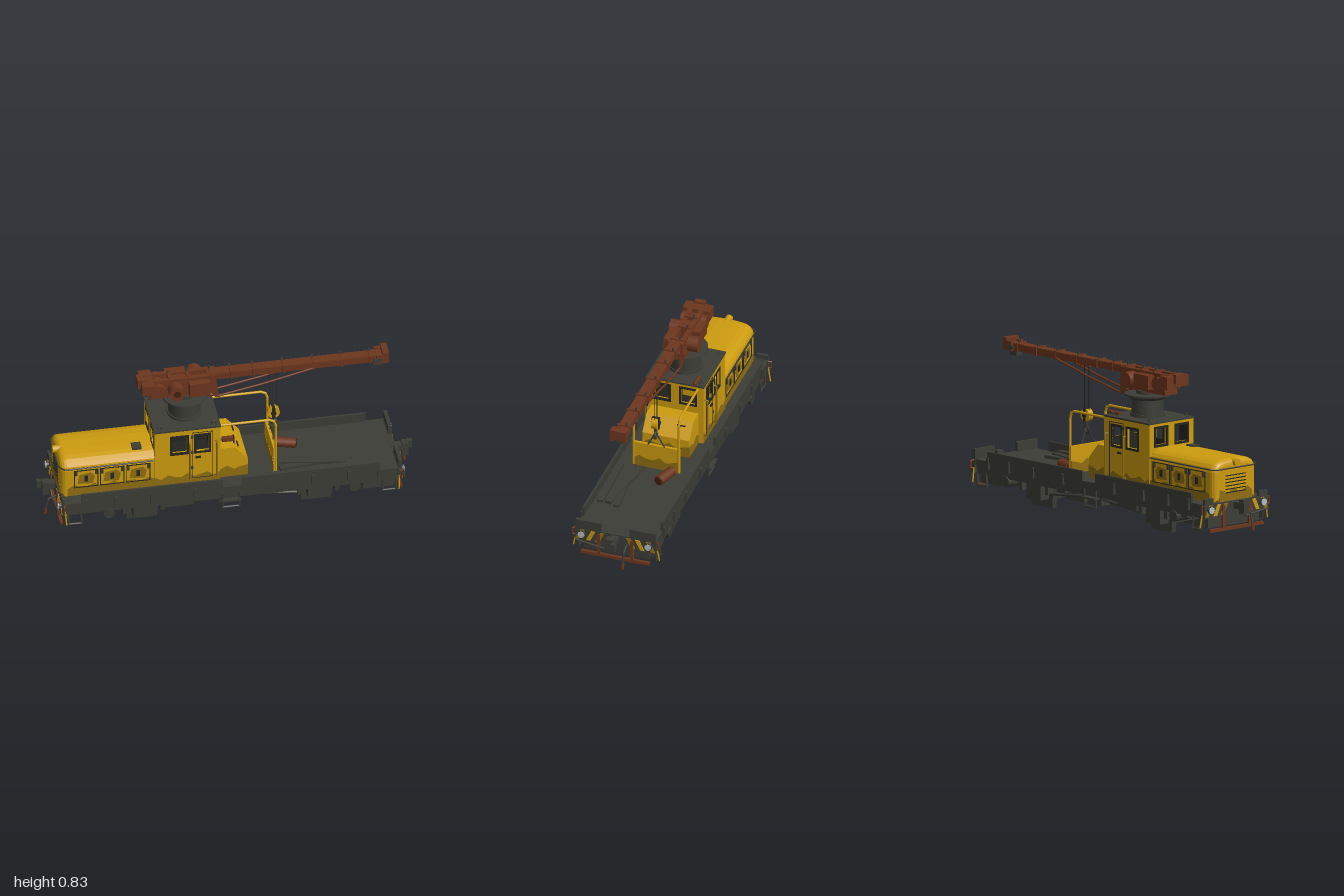
import * as THREE from 'three';
import { mergeGeometries } from 'three/addons/utils/BufferGeometryUtils.js';

const mat = (name, color) => new THREE.MeshStandardMaterial({ name, color });

export function createModel() {
  const yellow = mat('yellow paint', 0xcc9b0e), dark = mat('dark grey steel', 0x3c3d36);
  const grimy = mat('grimy yellow', 0x8f6d12), brown = mat('rust brown', 0x6d361e), darkBrown = mat('dark rust', 0x45210f);
  const black = mat('black trim', 0x24251f), lampGrey = mat('lamp glass', 0xb4bcbc);
  const root = new THREE.Group();
  const V = (x, y, z) => new THREE.Vector3(x, y, z);
  const add = (name, m, geo) => {
    const mesh = new THREE.Mesh(geo, m);
    mesh.name = name;
    root.add(mesh);
    return mesh;
  };
  const boxGeo = (x0, x1, y0, y1, z0, z1) => new THREE.BoxGeometry(x1 - x0, y1 - y0, z1 - z0)
    .translate((x0 + x1) / 2, (y0 + y1) / 2, (z0 + z1) / 2);
  const box = (name, m, ...b) => add(name, m, boxGeo(...b));
  const pair = (name, m, x0, x1, y0, y1, z0, z1) => {
    box(name, m, x0, x1, y0, y1, z0, z1);
    box(name, m, x0, x1, y0, y1, -z1, -z0);
  };
  // straight round bars joined through a list of [x, y, z] points
  const rod = (name, m, r, pts, sides = 8, overlap = r) => add(name, m, mergeGeometries(pts.slice(1).map((p, i) => {
    const a = V(...pts[i]), b = V(...p), d = b.clone().sub(a);
    const g = new THREE.CylinderGeometry(r, r, d.length() + overlap, sides);
    g.applyQuaternion(new THREE.Quaternion().setFromUnitVectors(V(0, 1, 0), d.normalize()));
    return g.translate(...a.add(b).multiplyScalar(0.5).toArray());
  })));
  const cyl = (name, m, r, a, b, sides = 20) => rod(name, m, r, [a, b], sides, 0);
  const outline = pts => new THREE.Shape(pts.map(p => new THREE.Vector2(...p)));
  const rect = (a, b, c, d) => [[a, c], [b, c], [b, d], [a, d]];
  // plate with holes in the xy plane, from z to z + depth
  const plate = (pts, holes, z, depth) => {
    const s = outline(pts);
    s.holes = holes.map(h => new THREE.Path(h.map(p => new THREE.Vector2(...p))));
    return new THREE.ExtrudeGeometry(s, { depth, bevelEnabled: false }).translate(0, 0, z);
  };
  // thin dirty band with an uneven top edge, centred on z = 0
  const grimeBand = (u0, u1) => {
    const n = Math.max(3, Math.round((u1 - u0) / 0.035)), pts = [[u0, 0.206], [u1, 0.206]];
    for (let i = n; i >= 0; i--) pts.push([u0 + (u1 - u0) * i / n, 0.262 + 0.014 * Math.sin(i * 2.3 + u0 * 9)]);
    return plate(pts, [], -0.001, 0.002);
  };
  const sideGrime = (x0, x1, z) => [-1, 1].forEach(s => add('sideGrime', grimy, grimeBand(x0, x1).translate(0, 0, s * z)));
  const endGrime = (w, x) => add('endGrime', grimy, grimeBand(-w, w).rotateY(Math.PI / 2).translate(x, 0, 0));

  // main frame and deck
  box('deck', dark, -0.9, 0.9, 0.18, 0.205, -0.222, 0.222);
  pair('sideSill', dark, -0.9, 0.9, 0.13, 0.2, 0.19, 0.215);
  pair('innerSill', dark, -0.88, 0.88, 0.1, 0.18, 0.06, 0.09);
  pair('rearSideBoard', dark, -0.8, -0.05, 0.2, 0.257, 0.212, 0.224);
  pair('frontSideBoard', dark, 0.05, 0.79, 0.2, 0.257, 0.212, 0.224);
  for (const x of [-0.78, -0.62, -0.43, -0.2, 0.2, 0.43, 0.62, 0.78])
    pair('boardBracket', dark, x - 0.008, x + 0.008, 0.165, 0.225, 0.22, 0.234);
  for (const x of [-0.7, -0.25, 0.25, 0.7]) box('crossMember', dark, x - 0.03, x + 0.03, 0.11, 0.18, -0.19, 0.19);

  // running gear
  for (const s of [-1, 1]) {
    const cx = s * 0.465;
    box('axleHousing', dark, cx - 0.085, cx + 0.085, 0.05, 0.17, -0.1, 0.1);
    for (const z of [-0.13, 0.1]) add('wheelBlock', dark, plate(
      [[cx - 0.08, 0], [cx + 0.08, 0], [cx + 0.085, 0.06], [cx + 0.1, 0.15], [cx - 0.1, 0.15], [cx - 0.085, 0.06]], [], z, 0.03));
    pair('axleBox', dark, cx - 0.055, cx + 0.055, 0.045, 0.13, 0.13, 0.19);
    pair('spring', dark, cx - 0.13, cx + 0.13, 0.12, 0.145, 0.14, 0.18);
    for (const dx of [-0.1, 0.1]) pair('springHanger', dark, cx + dx - 0.012, cx + dx + 0.012, 0.08, 0.16, 0.15, 0.19);
    for (const z of [-0.17, 0.17]) {
      cyl('airTank', dark, 0.03, [s * 0.655, 0.115, z - 0.05], [s * 0.655, 0.115, z + 0.05]);
      rod('trussBar', dark, 0.008, [[s * 0.36, 0.085, z], [s * 0.05, 0.115, z]]);
    }
    pair('equipmentBox', dark, s > 0 ? 0.7 : -0.35, s > 0 ? 0.86 : -0.2, s > 0 ? 0.08 : 0.1, 0.14, 0.1, 0.2);
    pair('underTank', dark, cx - s * 0.2 - 0.07, cx - s * 0.2 + 0.07, 0.09, 0.17, 0.02, 0.13);
  }
  box('transmission', dark, -0.12, 0.12, 0.08, 0.17, -0.11, 0.11);
  for (const z of [-0.215, 0.215]) {
    rod('middleLadder', dark, 0.006, [[-0.05, 0.16, z], [-0.05, 0.072, z], [0.04, 0.072, z], [0.04, 0.16, z]]);
    box('ladderStep', dark, -0.055, 0.045, 0.115, 0.125, z - 0.02, z + 0.02);
    box('stepBox', dark, -0.06, 0.05, 0.08, 0.15, z - 0.06 * Math.sign(z) - 0.03, z - 0.06 * Math.sign(z) + 0.03);
  }

  // both ends: buffer beam, warning stripes, lamps, coupler, guard bar, hoses, steps
  for (const s of [-1, 1]) {
    const ex = (a, b) => s > 0 ? [a, b] : [-b, -a];
    box('bufferBeam', dark, ...ex(0.88, 0.905), 0.135, 0.207, -0.225, 0.225);
    box('lowerApron', dark, ...ex(0.86, 0.885), 0.075, 0.14, -0.18, 0.18);
    if (s > 0) pair('endBoard', dark, 0.885, 0.905, 0.2, 0.257, 0.08, 0.222);
    else pair('endCornerPost', dark, -0.905, -0.89, 0.2, 0.235, 0.16, 0.222);
    for (const side of [-1, 1]) {
      for (const z of [0.06, 0.11, 0.17]) {
        const w = 0.024, pts = [[z + 0.028, 0.14], [z + w + 0.028, 0.14], [z + w, 0.2], [z, 0.2]];
        const g = plate(pts.map(p => [p[0] * side, p[1]]), [], -0.002, 0.004);
        g.rotateY(-Math.PI / 2).translate(s * 0.907, 0, 0);
        add('warningStripe', z === 0.11 ? yellow : grimy, g);
      }
      const z = side * 0.185;
      cyl('lampHousing', dark, 0.021, [s * 0.9, 0.175, z], [s * 0.918, 0.175, z]);
      cyl('lampGlass', lampGrey, 0.019, [s * 0.9, 0.175, z], [s * 0.922, 0.175, z], 8);
      box('guardHanger', brown, ...ex(0.9, 0.912), 0.06, 0.19, side * 0.092 - 0.009, side * 0.092 + 0.009);
      rod('cornerHandle', brown, 0.005, [[s * 0.89, 0.2, side * 0.222], [s * 0.9, 0.195, side * 0.238], [s * 0.9, 0.16, side * 0.238], [s * 0.89, 0.155, side * 0.222]]);
      rod('cornerRail', yellow, 0.004, [[s * 0.89, 0.16, side * 0.225], [s * 0.885, 0.085, side * 0.238]]);
      rod('cornerStep', dark, 0.006, [[s * 0.88, 0.15, side * 0.21], [s * 0.87, 0.07, side * 0.215], [s * 0.8, 0.07, side * 0.215], [s * 0.81, 0.15, side * 0.21]]);
    }
    const hz = -s * 0.062;
    rod('brakeHose', dark, 0.006, [[s * 0.9, 0.155, hz], [s * 0.95, 0.135, hz], [s * 0.965, 0.075, hz]]);
    cyl('hoseEnd', brown, 0.009, [s * 0.965, 0.075, hz], [s * 0.968, 0.045, hz], 8);
    box('guardBar', brown, ...ex(0.895, 0.912), 0.055, 0.072, -0.19, 0.19);
    box('couplerShank', dark, ...ex(0.9, 0.96), 0.165, 0.2, -0.02, 0.02);
    box('couplerHead', dark, ...ex(0.94, 0.975), 0.14, 0.215, -0.012, 0.03);
    box('couplerJaw', dark, ...ex(0.97, 1), 0.16, 0.205, -0.03, -0.006);
    rod('uncouplingLever', dark, 0.005, [[s * 0.92, 0.14, 0.21], [s * 0.925, 0.12, 0.05], [s * 0.93, 0.16, 0.02]]);
  }

  // long engine hood with rounded shoulders; its far end is drawn in
  const arc = [[0.15, 0.2], [0.15, 0.365], [0.145, 0.388], [0.132, 0.406], [0.112, 0.418], [0.085, 0.425], [0.04, 0.429]];
  const section = [...arc, ...arc.slice().reverse().map(([z, y]) => [-z, y])];
  const hood = new THREE.ExtrudeGeometry(outline(section), { depth: 0.46, bevelThickness: 0.035, bevelSize: 0.03, bevelOffset: -0.03, bevelSegments: 4 });
  add('engineHood', yellow, hood.rotateY(-Math.PI / 2).translate(-0.405, 0, 0));
  cyl('hoodHeadlamp', yellow, 0.02, [-0.918, 0.41, 0], [-0.84, 0.41, 0]);
  rod('hoodRail', dark, 0.004, [[-0.41, 0.382, 0.158], [-0.88, 0.382, 0.158], [-0.908, 0.382, 0.12], [-0.908, 0.382, -0.12], [-0.88, 0.382, -0.158], [-0.41, 0.382, -0.158]]);
  sideGrime(-0.865, -0.4, 0.1505);
  endGrime(0.115, -0.9);
  for (const side of [-1, 1]) {
    for (let i = 0; i < 3; i++) {
      const x = -0.83 + i * 0.138, z = side * 0.151;
      add('doorSeam', black, plate(rect(x, x + 0.13, 0.255, 0.365), [rect(x + 0.004, x + 0.126, 0.259, 0.361)], z - 0.003, 0.006));
      add('doorGrime', grimy, plate([[x + 0.02, 0.28], [x + 0.1, 0.275], [x + 0.112, 0.32], [x + 0.09, 0.345], [x + 0.03, 0.335]], [], z - 0.001, 0.002));
      box('doorLatch', black, x + 0.056, x + 0.074, 0.292, 0.328, z - 0.005, z + 0.005);
      for (const dx of [0.012, 0.118]) box('doorHinge', dark, x + dx - 0.006, x + dx + 0.006, 0.335, 0.362, z - 0.006, z + 0.006);
    }
  }
  for (let i = 0; i < 6; i++) box('endLouver', black, -0.903, -0.89, 0.25 + i * 0.018, 0.255 + i * 0.018, -0.07, 0.07);
  box('roofHatch', dark, -0.51, -0.46, 0.42, 0.435, 0.05, 0.1);

  // cab: four yellow walls with open, dark-framed windows and a dark lining
  const sideWins = [rect(-0.308, -0.23, 0.412, 0.512), rect(-0.18, -0.113, 0.412, 0.512)];
  const endWins = [rect(-0.11, -0.035, 0.442, 0.528), rect(0.035, 0.11, 0.442, 0.528)];
  const grow = (r, d) => rect(r[0][0] - d, r[1][0] + d, r[0][1] - d, r[2][1] + d);
  for (const side of [-1, 1]) {
    const z = side * 0.149;
    add('cabSide', yellow, plate(rect(-0.4, -0.05, 0.2, 0.555), sideWins, z - 0.007, 0.014));
    add('cabLining', black, plate(rect(-0.385, -0.065, 0.21, 0.545), sideWins, side * 0.139 - 0.002, 0.004));
    for (const w of sideWins) add('windowFrame', black, plate(grow(w, 0.012), [w], z - 0.01, 0.02));
    add('cabDoorSeam', black, plate(rect(-0.2, -0.09, 0.24, 0.535), [rect(-0.197, -0.093, 0.243, 0.532)], z - 0.009, 0.018));
    box('doorHandle', black, -0.185, -0.155, 0.37, 0.38, z - 0.014, z + 0.014);
    for (const x of [-0.215, -0.072])
      rod('cabGrabRail', grimy, 0.005, [[x, 0.47, side * 0.152], [x, 0.465, side * 0.172], [x, 0.25, side * 0.172], [x, 0.245, side * 0.152]]);
    for (const y of [0.3, 0.4, 0.5]) box('hinge', dark, -0.208, -0.196, y, y + 0.018, z - 0.012, z + 0.012);
  }
  sideGrime(-0.4, -0.05, 0.1565);
  for (const s of [-1, 1]) {
    const across = (name, m, geo, x) => add(name, m, geo.rotateY(Math.PI / 2).translate(-0.225 + s * x, 0, 0));
    across('cabEnd', yellow, plate(rect(-0.15, 0.15, 0.2, 0.555), endWins, -0.007, 0.014), 0.168);
    across('cabLining', black, plate(rect(-0.136, 0.136, 0.21, 0.545), endWins, -0.002, 0.004), 0.158);
    for (const w of endWins) across('windowFrame', black, plate(grow(w, 0.012), [w], -0.01, 0.02), 0.168);
  }
  box('cabFloor', black, -0.385, -0.065, 0.25, 0.26, -0.137, 0.137);
  box('cabRoof', dark, -0.402, -0.048, 0.554, 0.563, -0.16, 0.16);
  cyl('horn', brown, 0.01, [-0.12, 0.573, -0.11], [-0.04, 0.573, -0.11], 10);
  rod('floodlightArm', dark, 0.005, [[-0.05, 0.45, 0.13], [0.0, 0.46, 0.13]]);
  box('floodlight', brown, -0.04, 0.02, 0.447, 0.468, 0.126, 0.15);
  box('floodlightFace', black, 0.02, 0.026, 0.43, 0.47, 0.125, 0.151);
  for (const x of [-0.37, -0.08]) for (const z of [-0.13, 0.13])
    add('liftingEye', dark, new THREE.TorusGeometry(0.01, 0.004, 6, 12).translate(x, 0.568, z));

  // short sloping nose and railed platform panel
  add('noseBox', yellow, plate([[-0.05, 0.2], [0.1, 0.2], [0.1, 0.31], [0.03, 0.39], [-0.05, 0.39]], [], -0.13, 0.26));
  sideGrime(-0.045, 0.1, 0.1305);
  endGrime(0.13, 0.1005);
  for (const z of [-0.07, 0.07]) rod('noseHandle', black, 0.004, [[0.055, 0.367, z - 0.02], [0.055, 0.367, z + 0.02]]);
  box('platformPanel', yellow, 0.237, 0.253, 0.2, 0.35, -0.13, 0.13);
  for (const x of [0.2365, 0.2535]) endGrime(0.13, x);
  for (const z of [-0.125, 0.125])
    rod('platformRail', yellow, 0.007, [[-0.05, 0.54, z], [0.215, 0.54, z], [0.24, 0.528, z], [0.25, 0.5, z], [0.25, 0.2, z]]);

  // cargo on the deck
  cyl('cableDrum', brown, 0.027, [0.28, 0.23, -0.095], [0.39, 0.23, -0.06], 12);
  cyl('drumEnds', darkBrown, 0.022, [0.276, 0.23, -0.0963], [0.394, 0.23, -0.0587], 12);
  [[0.27, 0.12, 0.66, 0.08], [0.28, 0.07, 0.65, 0.13], [0.3, 0.18, 0.66, 0.17]].forEach(([x0, z0, x1, z1], i) => {
    const len = Math.hypot(x1 - x0, z1 - z0), g = new THREE.BoxGeometry(len, 0.016, 0.035);
    g.rotateY(-Math.atan2(z1 - z0, x1 - x0)).translate((x0 + x1) / 2, 0.213 + i * 0.006, (z0 + z1) / 2);
    add('looseBeam', dark, g);
  });

  // turret under the crane
  const T = -0.215;
  cyl('turretFoot', dark, 0.092, [T, 0.56, 0], [T, 0.578, 0], 28);
  cyl('turretDrum', dark, 0.085, [T, 0.57, 0], [T, 0.66, 0], 28);
  add('turretFlange', dark, new THREE.CylinderGeometry(0.118, 0.088, 0.02, 28).translate(T, 0.664, 0));
  cyl('turretDisc', dark, 0.12, [T, 0.673, 0], [T, 0.682, 0], 28);
  cyl('slewingRing', dark, 0.06, [T, 0.68, 0], [T, 0.7, 0], 24);

  // crane machinery
  box('craneBed', brown, -0.4, -0.06, 0.697, 0.735, -0.045, 0.045);
  pair('craneCheek', brown, -0.42, -0.05, 0.73, 0.808, 0.03, 0.042);
  box('winchHouse', brown, -0.31, -0.2, 0.72, 0.795, -0.085, 0.04);
  box('gearCase', brown, -0.2, -0.09, 0.71, 0.79, 0.03, 0.08);
  cyl('winchDrum', brown, 0.038, [-0.36, 0.755, -0.07], [-0.36, 0.755, 0.07]);
  cyl('hoistMotor', brown, 0.043, [-0.27, 0.752, 0.03], [-0.27, 0.752, 0.1], 8);
  cyl('slewMotor', brown, 0.042, [-0.15, 0.755, -0.1], [-0.15, 0.755, -0.03], 12);
  cyl('motorCap', darkBrown, 0.02, [-0.27, 0.752, 0.09], [-0.27, 0.752, 0.104], 8);
  box('counterweight', brown, -0.45, -0.385, 0.745, 0.805, -0.075, 0.075);
  box('rearBracket', brown, -0.468, -0.44, 0.765, 0.815, -0.03, 0.03);

  // boom: two side beams, top plate, bracing and clips
  pair('boomBeam', brown, -0.43, 0.86, 0.772, 0.808, 0.018, 0.03);
  box('boomTopPlate', brown, -0.1, 0.86, 0.8, 0.81, -0.026, 0.026);
  for (const z of [-0.036, 0.028]) {
    add('boomKnee', brown, plate([[-0.13, 0.79], [-0.1, 0.72], [-0.055, 0.66], [-0.035, 0.66], [-0.055, 0.79]], [], z, 0.008));
    rod('boomBrace', brown, 0.006, [[-0.045, 0.664, z + 0.004], [0.2, 0.712, z + 0.004], [0.46, 0.775, z + 0.004]]);
  }
  for (const x of [-0.3, -0.2, -0.08, 0.03, 0.15, 0.31, 0.47, 0.62, 0.77]) {
    box('boomClip', brown, x - 0.006, x + 0.006, 0.768, 0.816, -0.036, 0.036);
    box('clipPin', dark, x - 0.004, x + 0.004, 0.81, 0.832, -0.02, -0.012);
  }
  pair('boomTip', brown, 0.8, 0.868, 0.768, 0.82, 0.028, 0.044);
  box('tipPlate', brown, 0.835, 0.868, 0.78, 0.835, -0.044, 0.044);
  box('tipSheave', dark, 0.785, 0.84, 0.742, 0.775, -0.018, 0.018);
  pair('tipBearing', dark, 0.785, 0.83, 0.778, 0.8, 0.036, 0.048);
  box('trolley', brown, 0.22, 0.29, 0.762, 0.775, -0.02, 0.02);

  // hoist ropes, hook block and hook
  for (const x of [0.24, 0.275]) rod('hoistRope', black, 0.0025, [[x, 0.77, 0], [x, 0.51, 0]], 5);
  cyl('hookBlock', yellow, 0.034, [0.258, 0.5, -0.016], [0.258, 0.5, 0.016], 16);
  box('blockStrap', black, 0.25, 0.266, 0.465, 0.535, -0.02, 0.02);
  cyl('blockHub', black, 0.014, [0.258, 0.5, -0.023], [0.258, 0.5, 0.023], 10);
  rod('hookShank', dark, 0.009, [[0.258, 0.475, 0], [0.258, 0.44, 0]]);
  add('hook', dark, new THREE.TorusGeometry(0.02, 0.007, 8, 16, Math.PI * 1.5).rotateZ(-Math.PI).translate(0.258, 0.425, 0));
  for (const z of [-0.045, 0.045]) rod('slingChain', dark, 0.004, [[0.258, 0.44, 0], [0.25, 0.35, z]], 6);
  return root;
}
